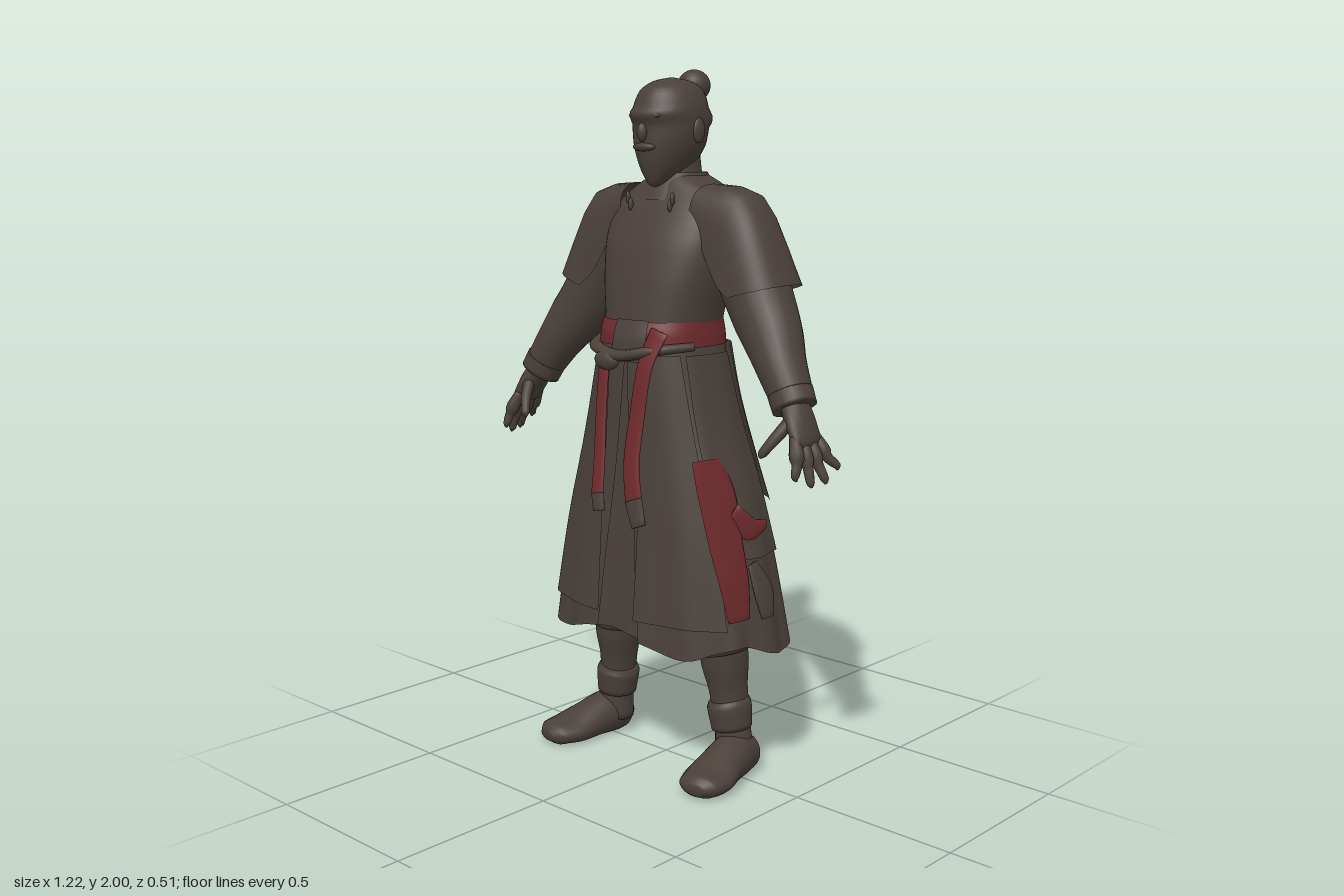
import * as THREE from 'three';

const cloth = new THREE.MeshStandardMaterial({ color: 0x4a403a, side: THREE.DoubleSide });
cloth.name = 'brown cloth';
const red = new THREE.MeshStandardMaterial({ color: 0x6e2a2c, side: THREE.DoubleSide });
red.name = 'red sash';

// Smooth surface from a grid of points; closed joins the last column to the first
function grid(cols, rows, fn, closed) {
  const pos = [], idx = [], n = closed ? cols : cols + 1;
  for (let j = 0; j <= rows; j++)
    for (let i = 0; i < n; i++) pos.push(...fn(i / cols, j / rows, j));
  for (let j = 0; j < rows; j++)
    for (let i = 0; i < cols; i++) {
      const a = j * n + i, b = j * n + (i + 1) % n;
      idx.push(a, b, a + n, b, b + n, a + n);
    }
  const g = new THREE.BufferGeometry();
  g.setAttribute('position', new THREE.Float32BufferAttribute(pos, 3));
  g.setIndex(idx);
  g.computeVertexNormals();
  return g;
}

const spow = (v, e) => Math.sign(v) * Math.abs(v) ** e;

// Upright shell through rings [y, halfWidth, zFront, zBack]; angle 0 is the front, +90 degrees is +x
function shell(rings, o = {}) {
  const { from = 0, to = Math.PI * 2, grow = 0, folds = 0, count = 13, e = 0.85, open = 0, hem = 0, cols = 64 } = o;
  const curveA = new THREE.CatmullRomCurve3(rings.map(r => new THREE.Vector3(r[0], r[1], 0)));
  const curveB = new THREE.CatmullRomCurve3(rings.map(r => new THREE.Vector3(r[2], r[3], 0)));
  const closed = to - from > 6.28 && !open;
  return grid(cols, rings.length * 4, (u, v) => {
    const p = curveA.getPoint(v), q = curveB.getPoint(v);
    const gap = open * v, a = from + gap + u * (to - from - 2 * gap);
    const k = 1 + folds * v * (Math.sin(a * count) + 0.5 * Math.sin(a * 7 + 1));
    const zc = (q.x + q.y) / 2, rz = (q.x - q.y) / 2 + grow;
    return [(p.y + grow) * k * spow(Math.sin(a), e),
      p.x + hem * v * v * Math.sin(a * 5 + 2),
      zc + rz * k * spow(Math.cos(a), e)];
  }, closed);
}

// Limb or ribbon through points [x, y, z, a, b]: b is the radius along axis, a the radius across it
function tube(pts, segs = 18, axis = [0, 0, 1], floor = -9) {
  const path = new THREE.CatmullRomCurve3(pts.map(p => new THREE.Vector3(p[0], p[1], p[2])));
  const radii = new THREE.CatmullRomCurve3(pts.map(p => new THREE.Vector3(p[3], p[4], 0)));
  const steps = (pts.length - 1) * 5, rows = steps + 2;
  return grid(segs, rows, (u, v, j) => {
    const t = Math.min(1, Math.max(0, (j - 1) / steps));
    const c = path.getPoint(t), T = path.getTangent(t), r = radii.getPoint(t);
    const k = j === 0 || j === rows ? 0 : 1;
    const B = new THREE.Vector3(...axis).addScaledVector(T, -T.dot(new THREE.Vector3(...axis))).normalize();
    const N = T.clone().cross(B), a = u * Math.PI * 2;
    c.addScaledVector(N, k * r.x * Math.cos(a)).addScaledVector(B, k * r.y * Math.sin(a));
    return [c.x, Math.max(floor, c.y), c.z];
  }, true);
}

export function createModel() {
  const model = new THREE.Group();
  const add = (name, geo, mat = cloth) => {
    const m = new THREE.Mesh(geo, mat);
    m.name = name;
    model.add(m);
    return m;
  };
  const ball = (name, x, y, z, sx, sy, sz) => {
    const m = add(name, new THREE.SphereGeometry(1, 20, 14));
    m.position.set(x, y, z);
    m.scale.set(sx, sy, sz);
    return m;
  };

  // Head with beard, bun and face
  add('head', shell([[1.975, 0.005, -0.015, -0.03], [1.965, 0.045, 0.035, -0.085], [1.94, 0.08, 0.075, -0.12],
    [1.89, 0.1, 0.095, -0.133], [1.84, 0.101, 0.095, -0.133], [1.79, 0.092, 0.095, -0.125], [1.75, 0.074, 0.09, -0.1],
    [1.71, 0.045, 0.078, -0.03], [1.68, 0.014, 0.062, 0.03], [1.675, 0.002, 0.05, 0.045]], { e: 1, cols: 32 }));
  ball('bun', 0, 1.955, -0.115, 0.048, 0.045, 0.046);
  ball('bunTie', 0, 1.93, -0.09, 0.035, 0.03, 0.04);
  ball('nose', 0, 1.825, 0.097, 0.015, 0.026, 0.016);
  ball('brow', 0, 1.87, 0.085, 0.06, 0.012, 0.02);
  ball('moustache', 0, 1.785, 0.09, 0.04, 0.012, 0.017);
  for (const s of [1, -1]) ball('ear', s * 0.1, 1.83, -0.025, 0.012, 0.035, 0.022);
  add('neck', shell([[1.8, 0.06, 0.02, -0.11], [1.72, 0.062, 0.01, -0.12], [1.62, 0.08, 0.03, -0.14]], { e: 1, cols: 28 }));
  add('collar', shell([[1.715, 0.075, 0.025, -0.14], [1.69, 0.088, 0.03, -0.15], [1.64, 0.12, 0.06, -0.16]], { e: 1, cols: 32 }));

  // Torso
  add('torso', shell([[1.71, 0.07, 0.015, -0.135], [1.67, 0.15, 0.035, -0.155], [1.61, 0.205, 0.072, -0.162],
    [1.52, 0.21, 0.115, -0.165], [1.42, 0.193, 0.14, -0.155], [1.34, 0.175, 0.152, -0.142],
    [1.28, 0.166, 0.16, -0.138], [1.2, 0.18, 0.168, -0.145]]));

  // Waist sash with brown front fold and knot
  add('waistSash', shell([[1.31, 0.168, 0.163, -0.142], [1.275, 0.174, 0.175, -0.149], [1.24, 0.178, 0.176, -0.15]]), red);
  add('frontFold', shell([[1.315, 0.17, 0.165, -0.14], [1.26, 0.178, 0.183, -0.15], [1.2, 0.183, 0.185, -0.15]],
    { from: -0.12, to: 0.42, grow: 0.004, cols: 16 }));
  add('beltRoll', tube([[-0.18, 1.245, 0.08, 0.015, 0.012], [-0.11, 1.23, 0.17, 0.02, 0.015], [0, 1.215, 0.192, 0.022, 0.016],
    [0.11, 1.235, 0.17, 0.02, 0.015], [0.18, 1.245, 0.08, 0.015, 0.012]], 12, [0, 1, 0]));
  ball('sashKnot', -0.04, 1.2, 0.2, 0.045, 0.028, 0.02);

  // Long skirt, open at the front, with an inner layer and upper layers
  const skirt = [[1.25, 0.172, 0.163, -0.143], [1.1, 0.205, 0.17, -0.158], [0.95, 0.25, 0.174, -0.178],
    [0.8, 0.3, 0.18, -0.198], [0.6, 0.348, 0.196, -0.222], [0.4, 0.385, 0.208, -0.245]];
  add('skirt', shell(skirt, { open: 0.17, folds: 0.022, hem: 0.022, cols: 130 }));
  add('innerSkirt', shell(skirt, { grow: -0.03, folds: 0.03, count: 17, hem: 0.015, cols: 100 }));
  const cut = (y0, y1) => [0, 0.33, 0.67, 1].map(t => {
    const y = y0 + (y1 - y0) * t;
    const i = Math.max(0, skirt.findIndex(r => r[0] <= y) - 1), a = skirt[i], b = skirt[i + 1];
    return a.map((c, k) => c + (b[k] - c) * (a[0] - y) / (a[0] - b[0]));
  });
  for (const s of [1, -1]) {
    const arc = (a, b) => s > 0 ? { from: a, to: b } : { from: -b, to: -a };
    add('frontPanel', shell(cut(1.22, 0.47), { ...arc(0.22, 0.95), grow: 0.012, folds: 0.012, open: -0.08, cols: 30 }));
    add('sidePanel', shell(cut(1.22, 0.66), { ...arc(1.05, 1.95), grow: 0.01, folds: 0.015, open: -0.05, cols: 30 }));
    add('backPanel', shell(cut(1.24, 0.8), { ...arc(2.0, 2.76), grow: 0.018, folds: 0.015, cols: 24 }));
    add('backRibbon', tube([[s * 0.105, 1.03, -0.19, 0.012, 0.004], [s * 0.108, 0.94, -0.205, 0.013, 0.004],
      [s * 0.11, 0.86, -0.222, 0.012, 0.004]], 8), red);
  }
  add('backFlap', shell(cut(1.24, 0.82), { from: 2.85, to: 3.43, grow: 0.028, folds: 0.01, cols: 16 }));

  // Hanging sash ends
  add('narrowSashEnd', tube([[-0.055, 1.2, 0.195, 0.02, 0.006], [-0.052, 1.05, 0.212, 0.021, 0.006],
    [-0.04, 0.92, 0.232, 0.023, 0.006], [-0.03, 0.82, 0.252, 0.024, 0.006]], 12), red);
  add('narrowSashTip', tube([[-0.03, 0.83, 0.25, 0.025, 0.008], [-0.02, 0.78, 0.255, 0.022, 0.008]], 12));
  add('wideSashEnd', tube([[0.125, 1.29, 0.16, 0.032, 0.008], [0.1, 1.2, 0.19, 0.028, 0.008], [0.085, 1.05, 0.21, 0.029, 0.007],
    [0.085, 0.92, 0.232, 0.031, 0.007], [0.11, 0.82, 0.248, 0.034, 0.007]], 12), red);
  add('wideSashTip', tube([[0.108, 0.83, 0.248, 0.035, 0.009], [0.135, 0.76, 0.255, 0.028, 0.009]], 12));

  // Cloth blowing out at the left hip
  add('hipCloth', tube([[0.25, 0.94, 0.105, 0.006, 0.06], [0.295, 0.84, 0.11, 0.006, 0.075], [0.34, 0.72, 0.125, 0.006, 0.068],
    [0.375, 0.62, 0.13, 0.006, 0.06], [0.398, 0.52, 0.135, 0.006, 0.045]], 16), red);
  add('hipClothFlap', tube([[0.315, 0.79, 0.08, 0.005, 0.04], [0.345, 0.75, 0.03, 0.005, 0.035],
    [0.36, 0.76, -0.02, 0.005, 0.012]], 10, [0, 1, 0]), red);
  add('hipClothTail', tube([[0.37, 0.66, 0.05, 0.006, 0.02], [0.395, 0.58, 0.03, 0.008, 0.04], [0.41, 0.51, 0.03, 0.006, 0.025]], 10));

  for (const s of [1, -1]) {
    const side = pts => pts.map(p => [p[0] * s, ...p.slice(1)]);

    // Shoulder guard: arched shell between its crest and its lower edge
    const crest = [[0.14, 1.685], [0.22, 1.68], [0.285, 1.66], [0.325, 1.61], [0.37, 1.52], [0.415, 1.42]];
    const edge = [[0.13, 1.6], [0.17, 1.53], [0.2, 1.48], [0.225, 1.44], [0.25, 1.41], [0.285, 1.385]];
    add('shoulderGuard', grid(24, 5, (u, v, j) => {
      const t = Math.PI * u, k = Math.sin(t) ** 0.75, c = crest[j], d = edge[j];
      return [s * (d[0] + (c[0] - d[0]) * k), d[1] + (c[1] - d[1]) * k,
        -0.045 + (0.095 + 0.004 * j) * spow(Math.cos(t), 0.8)];
    }));
    for (const x of [0.075, 0.085]) ball('tie', s * x, x * 2 + 1.475, 0.066, 0.006, 0.018, 0.008);

    // Sleeve, cuff and hand
    add('sleeve', tube(side([[0.19, 1.57, -0.045, 0.09, 0.09], [0.27, 1.45, -0.045, 0.1, 0.095], [0.34, 1.335, -0.03, 0.094, 0.088],
      [0.385, 1.275, -0.012, 0.085, 0.08], [0.43, 1.21, 0.01, 0.07, 0.07], [0.49, 1.12, 0.03, 0.058, 0.058]]), 24));
    add('cuff', tube(side([[0.475, 1.145, 0.026, 0.063, 0.062], [0.497, 1.105, 0.033, 0.062, 0.06]]), 24));
    add('palm', tube(side([[0.49, 1.12, 0.03, 0.035, 0.042], [0.52, 1.075, 0.04, 0.032, 0.052], [0.548, 1.025, 0.045, 0.022, 0.055],
      [0.555, 1.01, 0.045, 0.012, 0.045]]), 16));
    const tips = [[0.57, 0.93, 0.115], [0.59, 0.91, 0.075], [0.602, 0.915, 0.03], [0.602, 0.945, -0.02]];
    tips.forEach(([x, y, z], i) => {
      const bz = 0.085 - i * 0.027;
      add('finger', tube(side([[0.538, 1.04, bz, 0.014, 0.014], [(0.555 + x) / 2, (1.015 + y) / 2, (bz + z) / 2 + 0.004, 0.014, 0.014],
        [x - 0.004, y + 0.012, z, 0.011, 0.011], [x, y, z, 0.003, 0.003]]), 10));
    });
    add('thumb', tube(side([[0.51, 1.075, 0.07, 0.018, 0.018], [0.487, 1.03, 0.105, 0.016, 0.016],
      [0.464, 0.99, 0.128, 0.012, 0.012], [0.46, 0.98, 0.13, 0.004, 0.004]]), 10));

    // Trousers, boot and foot
    add('trouserLeg', tube(side([[0.15, 0.8, -0.02, 0.12, 0.12], [0.18, 0.55, -0.01, 0.12, 0.115], [0.2, 0.42, -0.005, 0.105, 0.1],
      [0.21, 0.36, -0.005, 0.075, 0.085]]), 20));
    add('lowerLeg', tube(side([[0.21, 0.4, -0.01, 0.07, 0.075], [0.215, 0.33, -0.018, 0.067, 0.073], [0.222, 0.25, -0.025, 0.055, 0.06],
      [0.235, 0.14, -0.03, 0.052, 0.052], [0.245, 0.05, -0.03, 0.06, 0.055]]), 20));
    add('bootCuff', tube(side([[0.222, 0.215, -0.025, 0.056, 0.06], [0.226, 0.195, -0.026, 0.064, 0.067],
      [0.234, 0.13, -0.028, 0.058, 0.06]]), 20));
    add('foot', tube(side([[0.245, 0.045, -0.09, 0.025, 0.03], [0.25, 0.05, -0.065, 0.055, 0.055], [0.258, 0.055, -0.01, 0.068, 0.062],
      [0.27, 0.045, 0.06, 0.056, 0.068], [0.285, 0.032, 0.13, 0.04, 0.077], [0.295, 0.03, 0.185, 0.034, 0.062],
      [0.3, 0.028, 0.21, 0.016, 0.03]]), 22, [1, 0, 0], 0));
  }
  return model;
}
